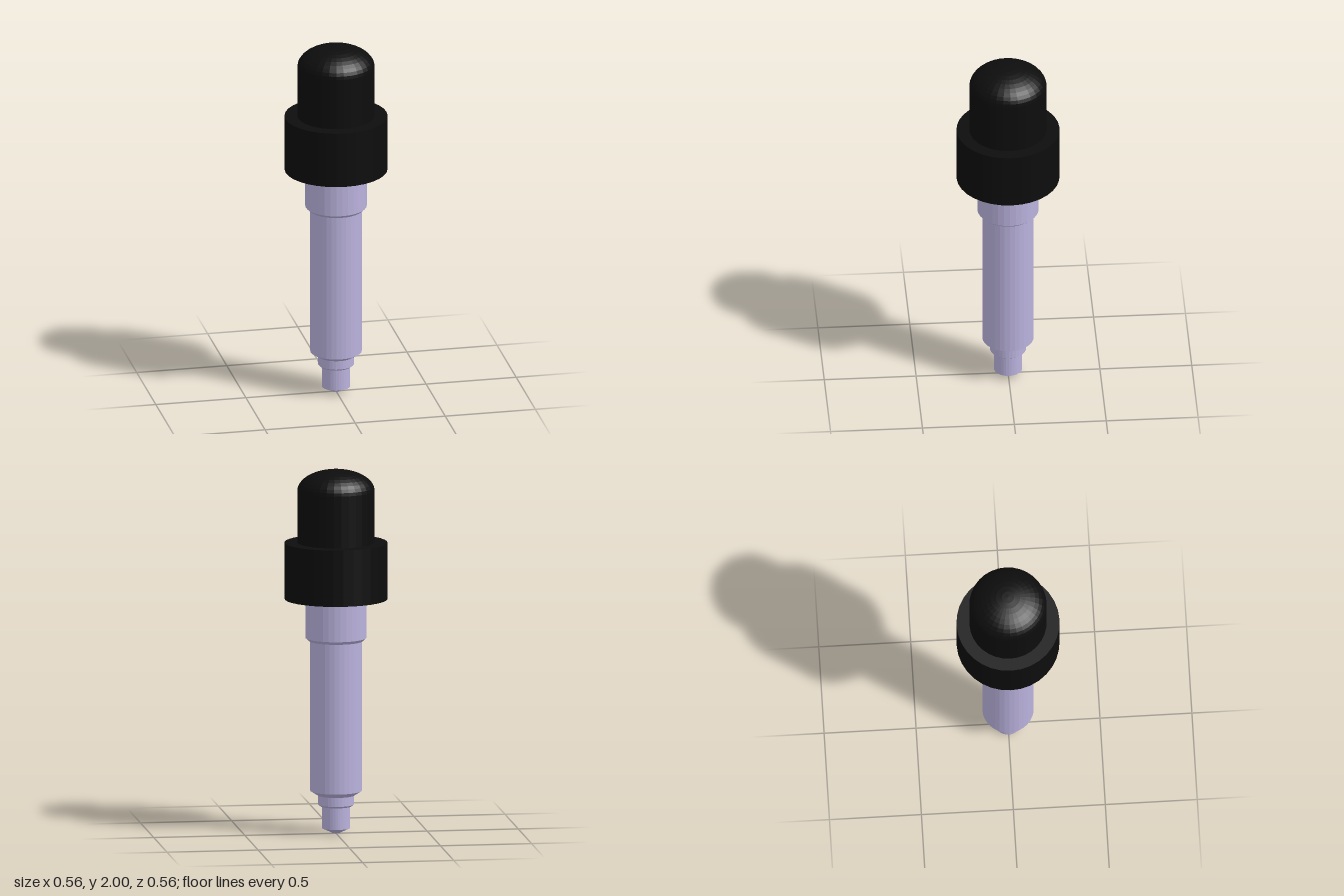
import * as THREE from 'three';

const SIDES = 32;

// Turned part from [radius, height] pairs, listed bottom to top
function turned(name, profile, material) {
  const points = profile.map(([r, y]) => new THREE.Vector2(r, y));
  const mesh = new THREE.Mesh(new THREE.LatheGeometry(points, SIDES), material);
  mesh.name = name;
  return mesh;
}

export function createModel() {
  const metal = new THREE.MeshStandardMaterial({ color: 0xbab2dd, flatShading: true });
  metal.name = 'pale lavender metal';
  const black = new THREE.MeshStandardMaterial({ color: 0x0d0d0d, flatShading: true });
  black.name = 'black plastic';

  const group = new THREE.Group();
  group.name = 'plunger';

  // Stepped pin: conical point, small neck, long shaft and upper sleeve
  group.add(turned('tip', [
    [0, 0], [0.02, 0.003], [0.077, 0.03], [0.077, 0.153],
  ], metal));
  group.add(turned('neck', [
    [0, 0.15], [0.085, 0.15], [0.098, 0.16], [0.098, 0.212],
  ], metal));
  group.add(turned('shaft', [
    [0, 0.21], [0.1, 0.21], [0.14, 0.235], [0.14, 1.065],
  ], metal));
  group.add(turned('sleeve', [
    [0, 1.06], [0.148, 1.06], [0.167, 1.077], [0.167, 1.3],
  ], metal));

  // Wide grip collar
  group.add(turned('collar', [
    [0, 1.29], [0.28, 1.29], [0.28, 1.6], [0, 1.6],
  ], black));

  // Knob with an elliptical domed top
  const knob = [[0.21, 1.59]];
  const steps = 10;
  for (let i = 0; i <= steps; i++) {
    const a = (i / steps) * Math.PI / 2;
    knob.push([i === steps ? 0 : 0.21 * Math.cos(a), 1.885 + 0.115 * Math.sin(a)]);
  }
  group.add(turned('knob', knob, black));

  return group;
}
